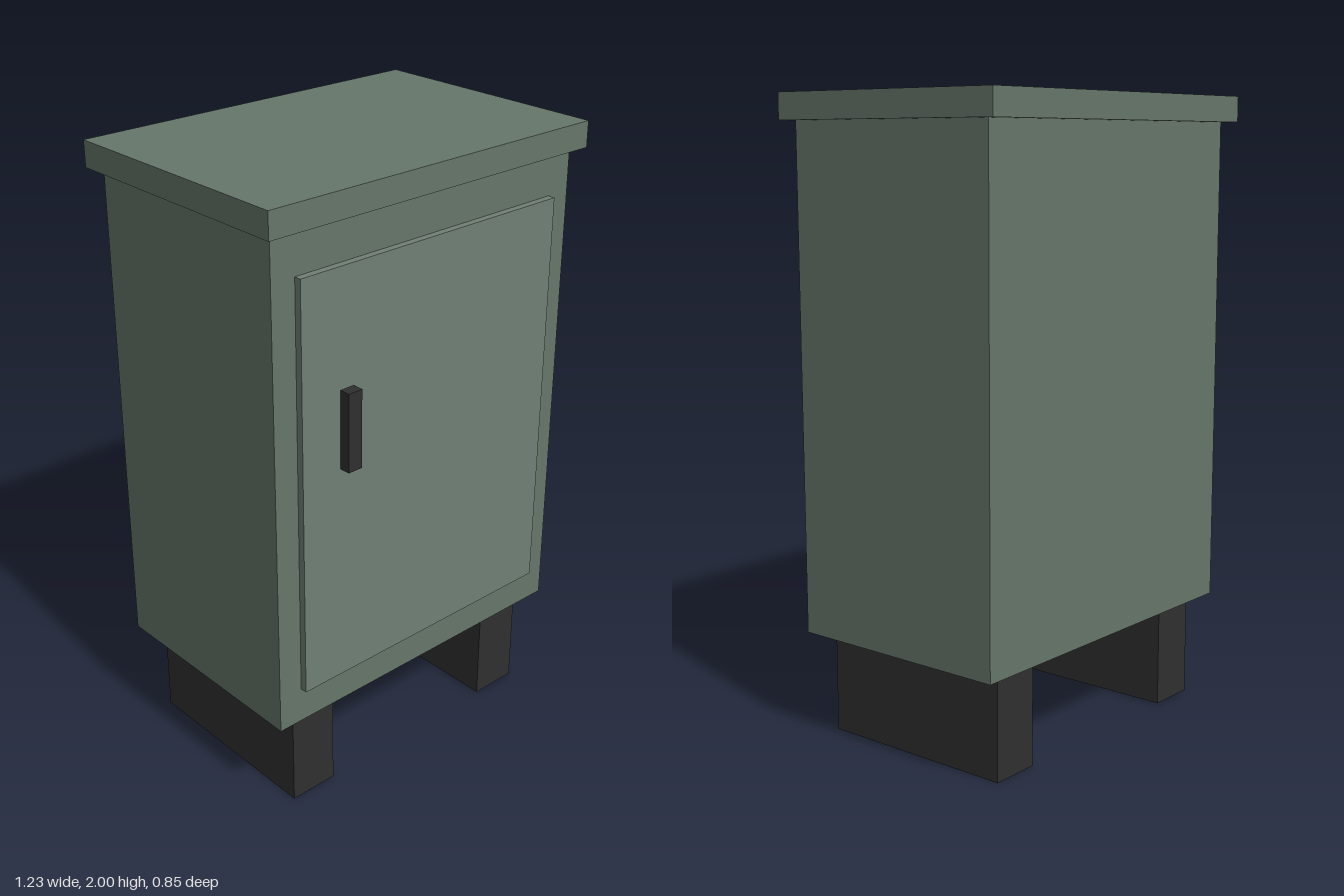
import * as THREE from 'three';

const green = new THREE.MeshStandardMaterial({ color: 0x66776b });
const paleGreen = new THREE.MeshStandardMaterial({ color: 0x718075 });
const black = new THREE.MeshStandardMaterial({ color: 0x303030 });

// Box given by its extents along each axis
function box(name, material, [x0, x1], [y0, y1], [z0, z1]) {
  const mesh = new THREE.Mesh(new THREE.BoxGeometry(x1 - x0, y1 - y0, z1 - z0), material);
  mesh.position.set((x0 + x1) / 2, (y0 + y1) / 2, (z0 + z1) / 2);
  mesh.name = name;
  return mesh;
}

export function createModel() {
  const cabinet = new THREE.Group();
  cabinet.name = 'cabinet';

  // Housing and overhanging lid
  cabinet.add(box('body', green, [-0.582, 0.582], [0.335, 1.918], [-0.383, 0.368]));
  cabinet.add(box('lid', green, [-0.615, 0.615], [1.918, 2], [-0.426, 0.406]));

  // Raised door with its handle
  cabinet.add(box('door', paleGreen, [-0.5, 0.5], [0.453, 1.783], [0.368, 0.391]));
  cabinet.add(box('handle', black, [-0.36, -0.31], [1.168, 1.417], [0.391, 0.426]));

  // Plinth blocks running front to back
  for (const [name, side] of [['leftPlinth', 1], ['rightPlinth', -1]]) {
    const plinth = box(name, black, [0.335, 0.5], [0, 0.335], [-0.34, 0.326]);
    plinth.position.x *= side;
    cabinet.add(plinth);
  }
  return cabinet;
}
